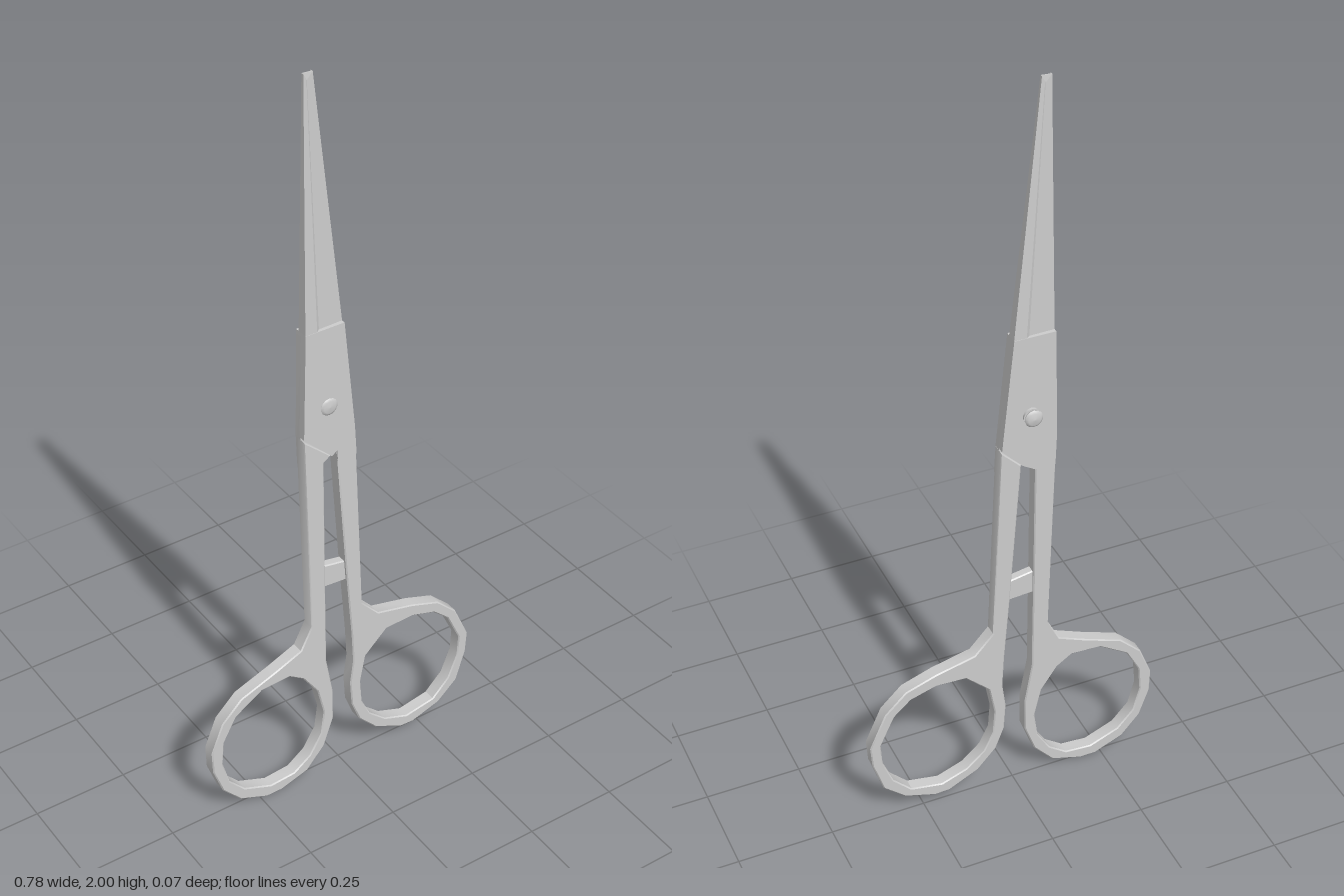
import * as THREE from 'three';
import { toCreasedNormals } from 'three/addons/utils/BufferGeometryUtils.js';

const steel = new THREE.MeshStandardMaterial({ color: 0xcccccc });
steel.name = 'steel';
const MID = 0.0075; // plane where the two halves meet

function add(group, name, geometry) {
  const mesh = new THREE.Mesh(geometry, steel);
  mesh.name = name;
  group.add(mesh);
  return mesh;
}

// Flat outline (counter-clockwise) with an optional clockwise hole,
// extruded from z0 to z1 with an optional softened rim
function plate(points, z0, z1, bevel = 0, hole = null) {
  const toV = (p) => new THREE.Vector2(p[0], p[1]);
  const shape = new THREE.Shape(points.map(toV));
  if (hole) shape.holes.push(new THREE.Path(hole.map(toV)));
  const g = new THREE.ExtrudeGeometry(shape, {
    depth: z1 - z0 - 2 * bevel, bevelEnabled: bevel > 0, bevelThickness: bevel,
    bevelSize: bevel, bevelOffset: -bevel, bevelSegments: 1,
  });
  return toCreasedNormals(g.translate(0, 0, z0 + bevel), 0.6);
}

// Tapered hollow-ground blade; side 1 is the front blade, -1 the back one
function bladeGeometry(side) {
  const section = [[-1, 0], [-1, 1], [-0.4, 1], [-0.22, 0.6], [1, 0.5], [1, 0]];
  const shape = new THREE.Shape(section.map(([u, w]) => new THREE.Vector2(u, -w)));
  const g = new THREE.ExtrudeGeometry(shape, { depth: 1, bevelEnabled: false });
  g.rotateX(-Math.PI / 2);
  const p = g.attributes.position;
  for (let i = 0; i < p.count; i++) {
    const u = p.getX(i), t = p.getY(i), w = p.getZ(i);
    const halfWidth = THREE.MathUtils.lerp(0.0525, 0.0125, t);
    const thick = THREE.MathUtils.lerp(0.0185, 0.005, t);
    const centre = THREE.MathUtils.lerp(-0.0525, -0.0825, t);
    const notch = t * 0.022 * (1 - Math.abs(u)); // small dip between the tips
    p.setXYZ(i, centre + side * u * halfWidth, 1.36 + 0.64 * t - notch, MID + side * w * thick);
  }
  g.computeVertexNormals();
  return g;
}

// Domed screw head, flat underside at the origin, facing +z
function screwHead(height) {
  const profile = [[0, 0], [0.022, 0], [0.023, height * 0.35], [0.016, height * 0.8], [0, height]];
  const g = new THREE.LatheGeometry(profile.map(([r, y]) => new THREE.Vector2(r, y)), 14);
  return g.rotateX(Math.PI / 2);
}

export function createModel() {
  const model = new THREE.Group();
  model.name = 'scissors';

  // Right-hand handle: shank and finger ring in one outline
  const rightOutline = [
    [-0.11, 1.066], [-0.093, 0.5], [-0.125, 0.437], [-0.2, 0.405], [-0.3, 0.367], [-0.357, 0.312],
    [-0.39, 0.23], [-0.388, 0.165], [-0.362, 0.09], [-0.312, 0.033], [-0.235, 0],
    [-0.19, 0], [-0.11, 0.025], [-0.058, 0.085], [-0.03, 0.165], [-0.03, 0.255],
    [-0.05, 0.37], [-0.052, 0.6], [-0.055, 0.985], [-0.035, 1.0],
  ];
  const rightHole = [
    [-0.24, 0.366], [-0.16, 0.37], [-0.12, 0.343], [-0.077, 0.28], [-0.058, 0.2], [-0.067, 0.13],
    [-0.102, 0.072], [-0.15, 0.037], [-0.22, 0.031], [-0.298, 0.063], [-0.342, 0.112],
    [-0.36, 0.18], [-0.354, 0.25], [-0.317, 0.317],
  ];
  add(model, 'rightHandle', plate(rightOutline, -0.012, 0.024, 0.003, rightHole));

  // Left-hand handle
  const leftOutline = [
    [-0.02, 1.005], [0.01, 0.6], [0.025, 0.42], [0.03, 0.33], [0.021, 0.26], [0.026, 0.185],
    [0.049, 0.124], [0.1, 0.068], [0.18, 0.028], [0.22, 0.026], [0.302, 0.053], [0.359, 0.104],
    [0.386, 0.19], [0.39, 0.25], [0.347, 0.347], [0.29, 0.402], [0.21, 0.43],
    [0.105, 0.455], [0.055, 0.51], [0.032, 1.055],
  ];
  const leftHole = [
    [0.13, 0.39], [0.21, 0.394], [0.278, 0.373], [0.323, 0.333], [0.362, 0.25], [0.359, 0.19],
    [0.332, 0.122], [0.284, 0.073], [0.2, 0.057], [0.131, 0.083], [0.082, 0.127],
    [0.057, 0.18], [0.052, 0.25], [0.067, 0.33],
  ];
  add(model, 'leftHandle', plate(leftOutline, -0.009, 0.027, 0.003, leftHole));

  // Lapped joint plates: each half is thinned where they cross
  add(model, 'frontJoint', plate(
    [[-0.112, 1.075], [-0.035, 1.0], [-0.02, 1.01], [-0.018, 0.98], [0.035, 0.98], [0.03, 1.06], [0, 1.36], [-0.105, 1.36]],
    MID, 0.027));
  add(model, 'backJoint', plate(
    [[-0.105, 1.36], [-0.11, 1.07], [-0.107, 0.985], [-0.055, 0.985], [-0.022, 1.005], [0.031, 1.06], [0, 1.36]],
    -0.012, MID));

  add(model, 'frontBlade', bladeGeometry(1));
  add(model, 'backBlade', bladeGeometry(-1));

  // Stop bar between the shanks
  add(model, 'stopBar', plate([[-0.056, 0.605], [0.014, 0.6], [0.011, 0.66], [-0.056, 0.672]], -0.005, 0.019, 0.003));

  // Pivot screw with a washer under the back head
  const screw = new THREE.Group();
  screw.name = 'pivotScrew';
  screw.position.set(-0.043, 1.145, 0);
  model.add(screw);
  add(screw, 'screwShaft', new THREE.CylinderGeometry(0.008, 0.008, 0.052, 12).rotateX(Math.PI / 2));
  add(screw, 'frontHead', screwHead(0.007)).position.z = 0.026;
  const washer = new THREE.CylinderGeometry(0.021, 0.021, 0.008, 14).rotateX(Math.PI / 2);
  add(screw, 'washer', washer).position.z = -0.014;
  const back = add(screw, 'backHead', screwHead(0.01));
  back.rotation.y = Math.PI;
  back.position.z = -0.025;

  return model;
}
